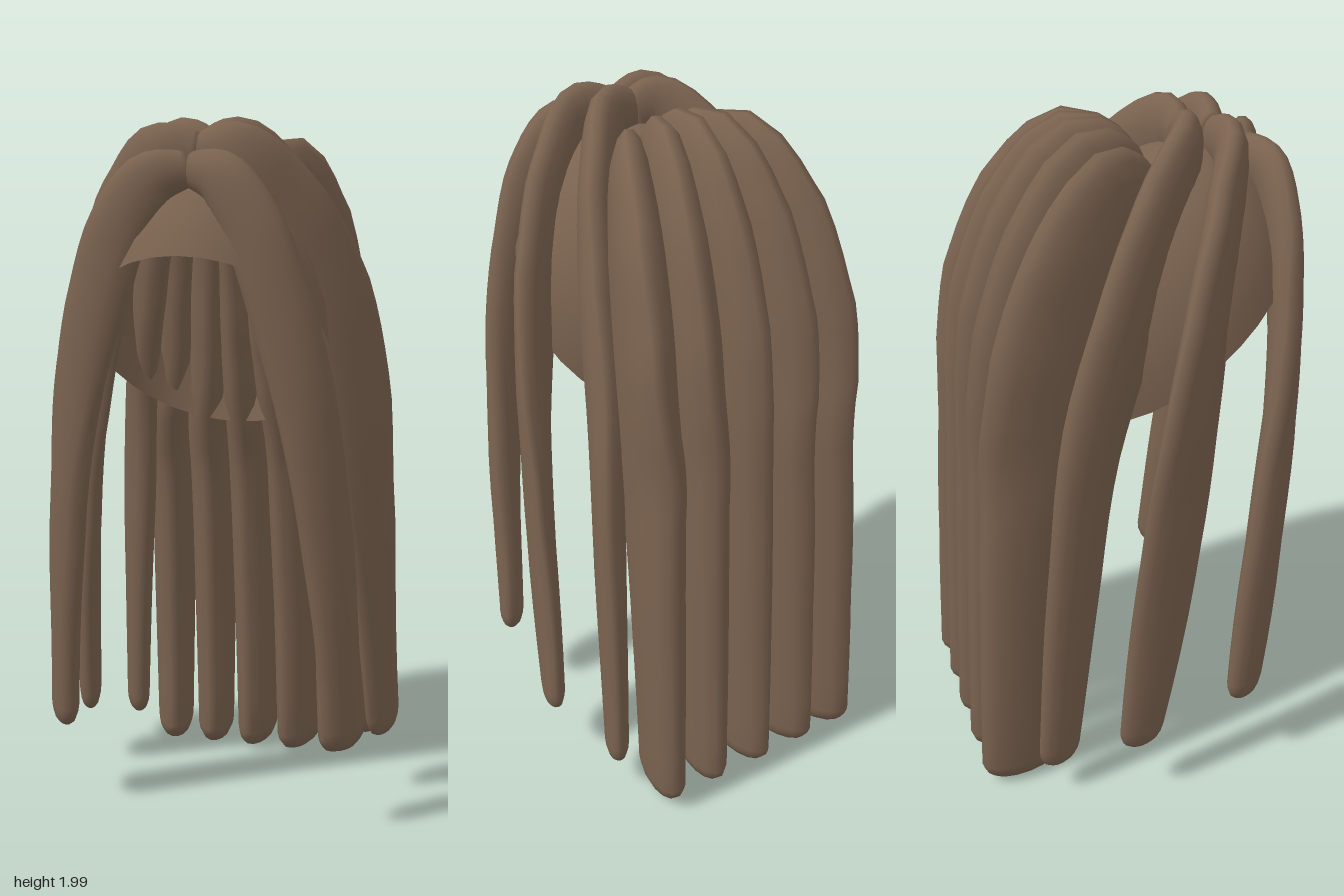
import * as THREE from 'three';

const hair = new THREE.MeshStandardMaterial({ color: 0x7a624f, side: THREE.DoubleSide });
hair.name = 'brown hair';

// Closed surface through rings that all have the same number of points
function skin(rings, name) {
  const n = rings[0].length, pos = [], idx = [];
  rings.forEach(r => r.forEach(p => pos.push(p.x, p.y, p.z)));
  for (let i = 0; i < rings.length - 1; i++) {
    for (let j = 0; j < n; j++) {
      const a = i * n + j, b = i * n + (j + 1) % n;
      idx.push(a, b, b + n, a, b + n, a + n);
    }
  }
  const g = new THREE.BufferGeometry();
  g.setAttribute('position', new THREE.Float32BufferAttribute(pos, 3));
  g.setIndex(idx);
  g.computeVertexNormals();
  const mesh = new THREE.Mesh(g, hair);
  mesh.name = name;
  return mesh;
}

// A lock: rows of [x, y, z, half thickness, half depth] swept from root to rounded tip.
// Thickness runs level across the path, depth runs in the path's own upright sheet.
function lock(name, rows, side = 1, tip = 0.06) {
  const curve = new THREE.CatmullRomCurve3(rows.map(r => new THREE.Vector3(r[0] * side, r[1], r[2])));
  const rings = [], sides = 14, steps = 28, last = rows.length - 1;
  const ring = (t, scale, shift) => {
    const T = curve.getTangent(t);
    const N = new THREE.Vector3(T.z, 0, -T.x).normalize();
    const W = new THREE.Vector3().crossVectors(T, N);
    const c = curve.getPoint(t).addScaledVector(T, shift);
    const k = Math.min(Math.floor(t * last), last - 1), f = t * last - k;
    const a = THREE.MathUtils.lerp(rows[k][3], rows[k + 1][3], f) * scale;
    const b = THREE.MathUtils.lerp(rows[k][4], rows[k + 1][4], f) * scale;
    rings.push(Array.from({ length: sides }, (_, j) => {
      const q = j / sides * Math.PI * 2;
      return c.clone().addScaledVector(N, a * Math.cos(q)).addScaledVector(W, b * Math.sin(q));
    }));
  };
  ring(0, 0, 0);
  for (let i = 0; i <= steps; i++) ring(i / steps, 1, 0);
  [[0.93, 0.4], [0.76, 0.78], [0.5, 1], [0, 1.02]].forEach(([s, h]) => ring(1, s, h * tip));
  return skin(rings, name);
}

// Scalp cap: tilted oval rim rising to a crown that leans back, open below
function scalpCap() {
  const rings = [], sides = 32, steps = 10;
  for (let i = 0; i <= steps; i++) {
    const t = i / steps * Math.PI / 2, c = Math.cos(t), s = Math.sin(t);
    rings.push(Array.from({ length: sides }, (_, j) => {
      const q = j / sides * Math.PI * 2, z = Math.cos(q);
      return new THREE.Vector3(
        0.35 * Math.sin(q) * c,
        1.36 + 0.26 * z * c + 0.45 * s,
        0.2 + 0.31 * z * c - 0.18 * s);
    }));
  }
  return skin(rings, 'scalpCap');
}

export function createModel() {
  const model = new THREE.Group();
  model.name = 'longHair';
  model.add(scalpCap());

  // Five back locks fan out from the crown: [spread, y, z, thickness, depth]
  const backProfile = [
    [0, 1.81, 0.05, 0.03, 0.08],
    [0.28, 1.835, -0.07, 0.058, 0.157],
    [0.55, 1.67, -0.165, 0.073, 0.195],
    [0.74, 1.42, -0.235, 0.077, 0.215],
    [0.83, 1.2, -0.272, 0.076, 0.203],
    [0.89, 0.95, -0.312, 0.072, 0.166],
    [0.96, 0.5, -0.35, 0.066, 0.147],
    [1, 0.065, -0.37, 0.058, 0.142],
  ];
  const backLock = (name, x0, x1, dz, drop, bow, side) => lock(name, backProfile.map(([f, y, z, a, b]) =>
    [x0 + (x1 - x0) * f ** bow, y - drop * (1 - f), z + dz * (1 - f), a, b]), side);
  model.add(backLock('backLockCentre', 0, 0, 0, 0, 1, 1));

  const frontRows = [
    [0, 1.845, 0.375, 0.04, 0.05],
    [0.1, 1.815, 0.415, 0.046, 0.08],
    [0.19, 1.685, 0.428, 0.048, 0.088],
    [0.267, 1.46, 0.42, 0.048, 0.09],
    [0.33, 1.2, 0.397, 0.047, 0.086],
    [0.383, 0.8, 0.35, 0.046, 0.083],
    [0.418, 0.305, 0.298, 0.038, 0.074],
  ];
  const sideRows = [
    [0, 1.88, 0.29, 0.04, 0.065],
    [0.11, 1.885, 0.3, 0.047, 0.09],
    [0.235, 1.735, 0.24, 0.05, 0.12],
    [0.335, 1.5, 0.168, 0.05, 0.136],
    [0.4, 1.2, 0.104, 0.047, 0.133],
    [0.44, 0.8, 0.039, 0.043, 0.115],
    [0.47, 0.24, -0.045, 0.034, 0.08],
  ];
  const rearSideRows = [
    [0, 1.89, 0.2, 0.04, 0.07],
    [0.08, 1.9, 0.185, 0.048, 0.095],
    [0.19, 1.75, 0.075, 0.053, 0.12],
    [0.265, 1.5, -0.035, 0.054, 0.125],
    [0.325, 1.15, -0.155, 0.05, 0.115],
    [0.362, 0.7, -0.222, 0.046, 0.1],
    [0.39, 0.16, -0.28, 0.036, 0.076],
  ];

  // Mirrored locks on both sides of the parting
  for (const [word, side] of [['Left', 1], ['Right', -1]]) {
    model.add(
      backLock('backLockInner' + word, 0.035, 0.145, 0.01, 0.015, 0.8, side),
      backLock('backLockOuter' + word, 0.08, 0.287, 0.03, 0.05, 0.7, side),
      lock('rearSideLock' + word, rearSideRows, side),
      lock('sideLock' + word, sideRows, side),
      lock('frontLock' + word, frontRows, side));
  }
  return model;
}
